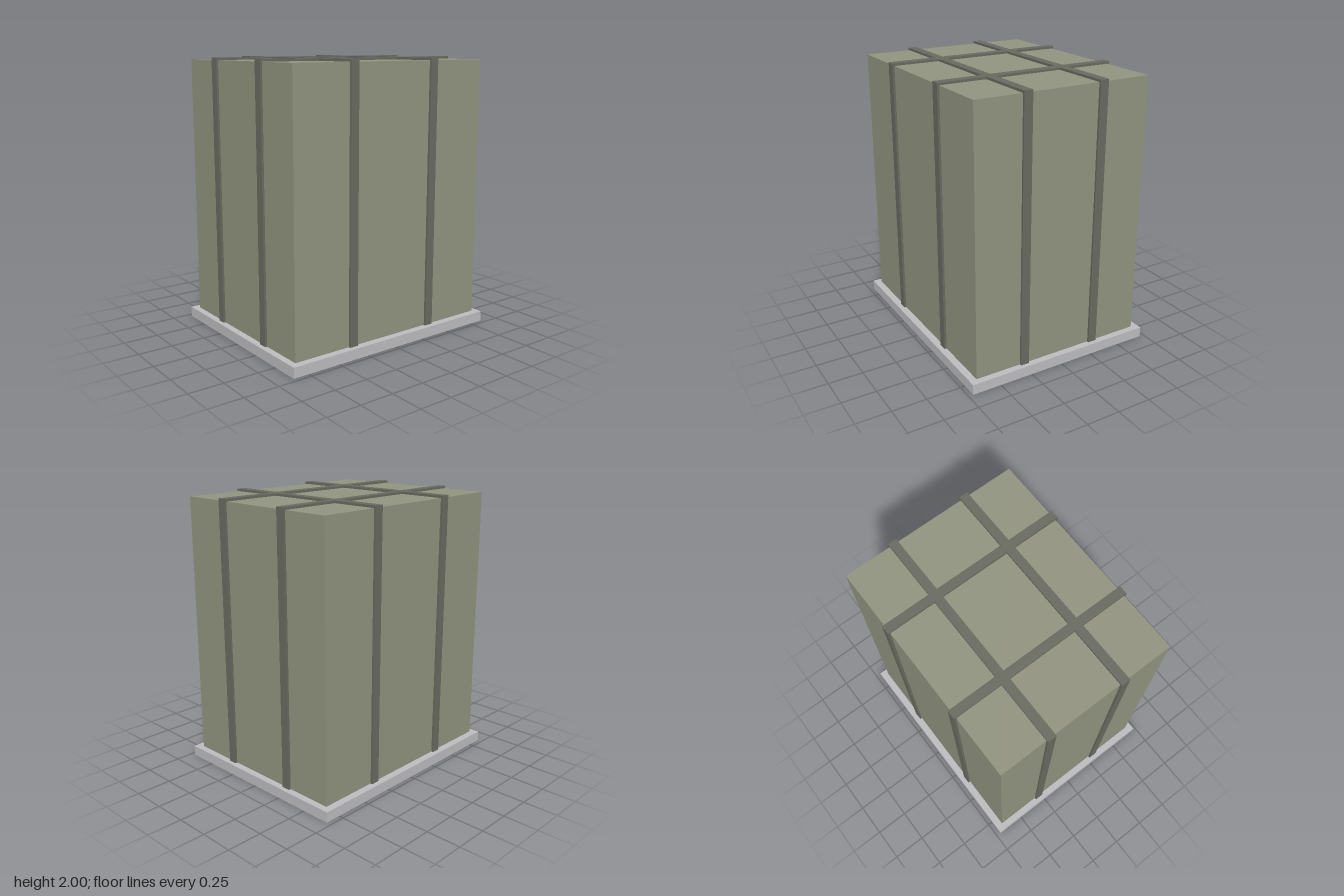
import * as THREE from 'three';

const BASE_TOP = 0.075, BODY_TOP = 1.983, TOP = 2;
const BODY_X = 0.662, BODY_Z = 0.817; // half sizes of the load
const STRAP = 0.064, THICK = 0.016;

export function createModel() {
  const group = new THREE.Group();
  const mat = (name, color) => {
    const m = new THREE.MeshStandardMaterial({ color });
    m.name = name;
    return m;
  };
  const olive = mat('olive cover', 0x90937e);
  const dark = mat('dark strap', 0x68695f);
  const grey = mat('grey base', 0xbbbbbe);

  const add = (name, geometry, material) => {
    const mesh = new THREE.Mesh(geometry, material);
    mesh.name = name;
    group.add(mesh);
    return mesh;
  };

  // Flat base and the covered load standing on it
  add('base', new THREE.BoxGeometry(1.43, BASE_TOP, 1.73), grey).position.y = BASE_TOP / 2;
  const height = BODY_TOP - BASE_TOP;
  add('load', new THREE.BoxGeometry(BODY_X * 2, height, BODY_Z * 2), olive)
    .position.y = BASE_TOP + height / 2;

  // Strap running up one side, over the top and down the other
  const strapGeometry = (half) => {
    const out = half + THICK;
    const shape = new THREE.Shape([
      [-out, BASE_TOP], [-half, BASE_TOP], [-half, BODY_TOP], [half, BODY_TOP],
      [half, BASE_TOP], [out, BASE_TOP], [out, TOP], [-out, TOP],
    ].map(([x, y]) => new THREE.Vector2(x, y)));
    return new THREE.ExtrudeGeometry(shape, { depth: STRAP, bevelEnabled: false })
      .translate(0, 0, -STRAP / 2);
  };

  for (const side of [-1, 1]) {
    add('crossStrap', strapGeometry(BODY_X), dark).position.z = side * 0.347;
    const long = add('lengthStrap', strapGeometry(BODY_Z), dark);
    long.rotation.y = Math.PI / 2;
    long.position.x = side * 0.288;
  }
  return group;
}
